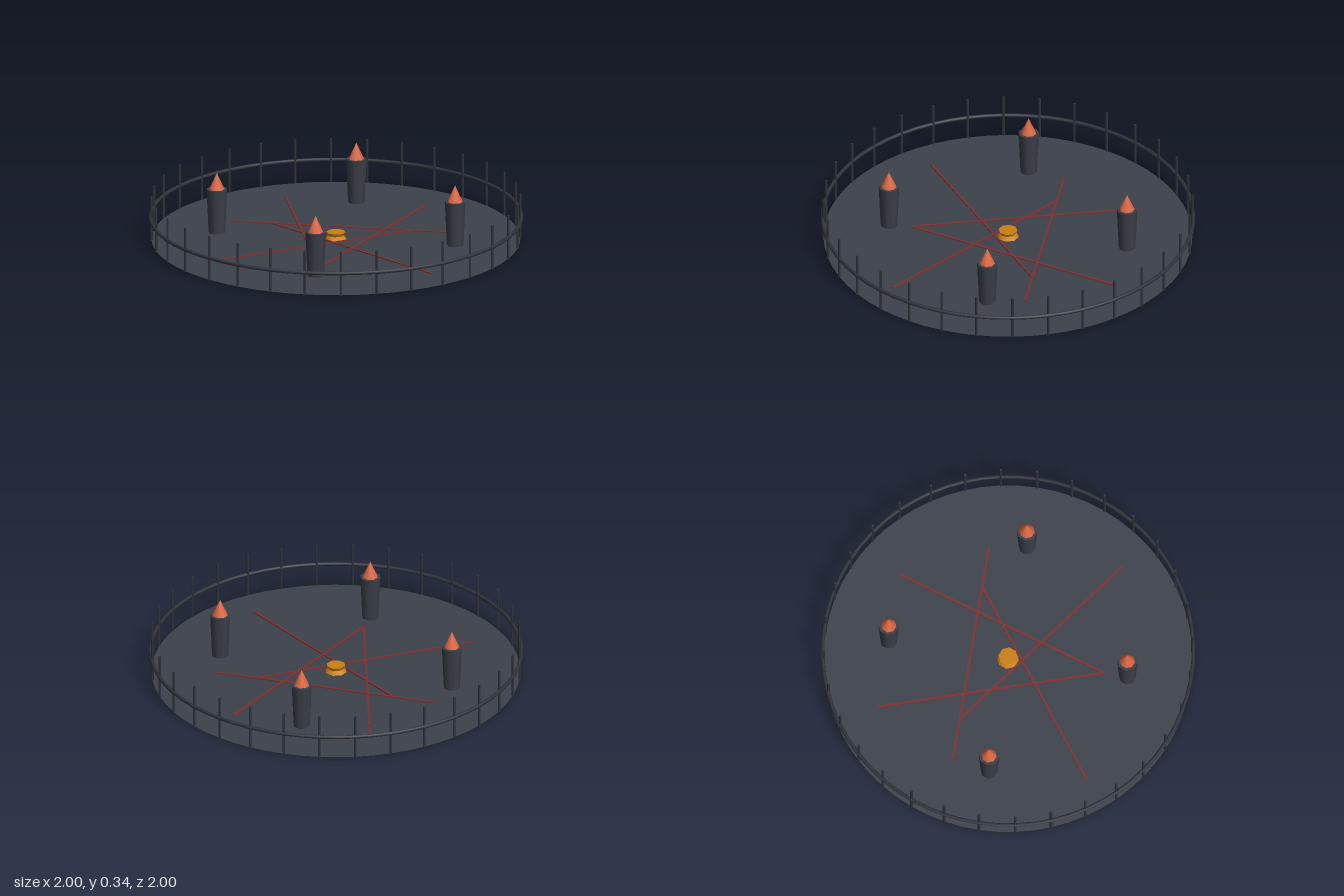
import * as THREE from 'three';

const mat = (name, color, side = THREE.FrontSide) =>
  Object.assign(new THREE.MeshStandardMaterial({ color, side }), { name });

export function createModel() {
  const stone = mat('slate floor', 0x3d424b, THREE.DoubleSide);
  const pillarMat = mat('dark slate', 0x3a3f47);
  const iron = mat('iron', 0x2f333b);
  const red = mat('dark red', 0x7a3030);
  const flameMat = mat('flame orange', 0xdb6642);
  const gold = mat('gold', 0xcc8012);

  const model = new THREE.Group();
  model.name = 'ritualArena';
  const add = (name, geometry, material, x = 0, y = 0, z = 0) => {
    const mesh = new THREE.Mesh(geometry, material);
    mesh.name = name;
    mesh.position.set(x, y, z);
    model.add(mesh);
    return mesh;
  };

  // Thin round floor
  add('floor', new THREE.CircleGeometry(0.985, 64).rotateX(-Math.PI / 2), stone, 0, 0.002, 0);

  // Railing: one hoop and 32 upright posts
  add('railHoop', new THREE.TorusGeometry(0.99, 0.01, 8, 64).rotateX(Math.PI / 2), iron, 0, 0.125, 0);
  const postGeo = new THREE.CylinderGeometry(0.007, 0.007, 0.245, 6);
  for (let i = 0; i < 32; i++) {
    const a = (i / 32) * Math.PI * 2;
    add('railPost', postGeo, iron, Math.sin(a) * 0.985, 0.1225, Math.cos(a) * 0.985);
  }

  // Four tapered pillars with flames
  const pillarGeo = new THREE.CylinderGeometry(0.056, 0.045, 0.245, 8);
  const flameGeo = new THREE.ConeGeometry(0.046, 0.1, 8);
  for (let i = 0; i < 4; i++) {
    const a = (i / 4) * Math.PI * 2;
    const x = Math.sin(a) * 0.645, z = Math.cos(a) * 0.645;
    add('torchPillar', pillarGeo, pillarMat, x, 0.1225, z);
    add('torchFlame', flameGeo, flameMat, x, 0.285, z);
  }

  // Crossing strips on the floor: x1, z1, x2, z2
  const strips = [
    [-0.61, -0.2, 0.61, -0.2],
    [-0.38, -0.645, 0, 0.52],
    [0.38, -0.645, 0, 0.52],
    [-0.61, 0.52, 0.38, -0.2],
    [0.61, 0.52, -0.38, -0.2],
  ];
  for (const [x1, z1, x2, z2] of strips) {
    const length = Math.hypot(x2 - x1, z2 - z1);
    const strip = add('floorStrip', new THREE.BoxGeometry(length, 0.006, 0.013), red,
      (x1 + x2) / 2, 0.004, (z1 + z2) / 2);
    strip.rotation.y = -Math.atan2(z2 - z1, x2 - x1);
  }

  // Waisted pedestal in the centre: flared foot and shallow bowl
  add('pedestalFoot', new THREE.CylinderGeometry(0.043, 0.06, 0.022, 8), gold, 0, 0.011, 0);
  add('pedestalBowl', new THREE.CylinderGeometry(0.051, 0.043, 0.018, 8), gold, 0, 0.031, 0);

  return model;
}
